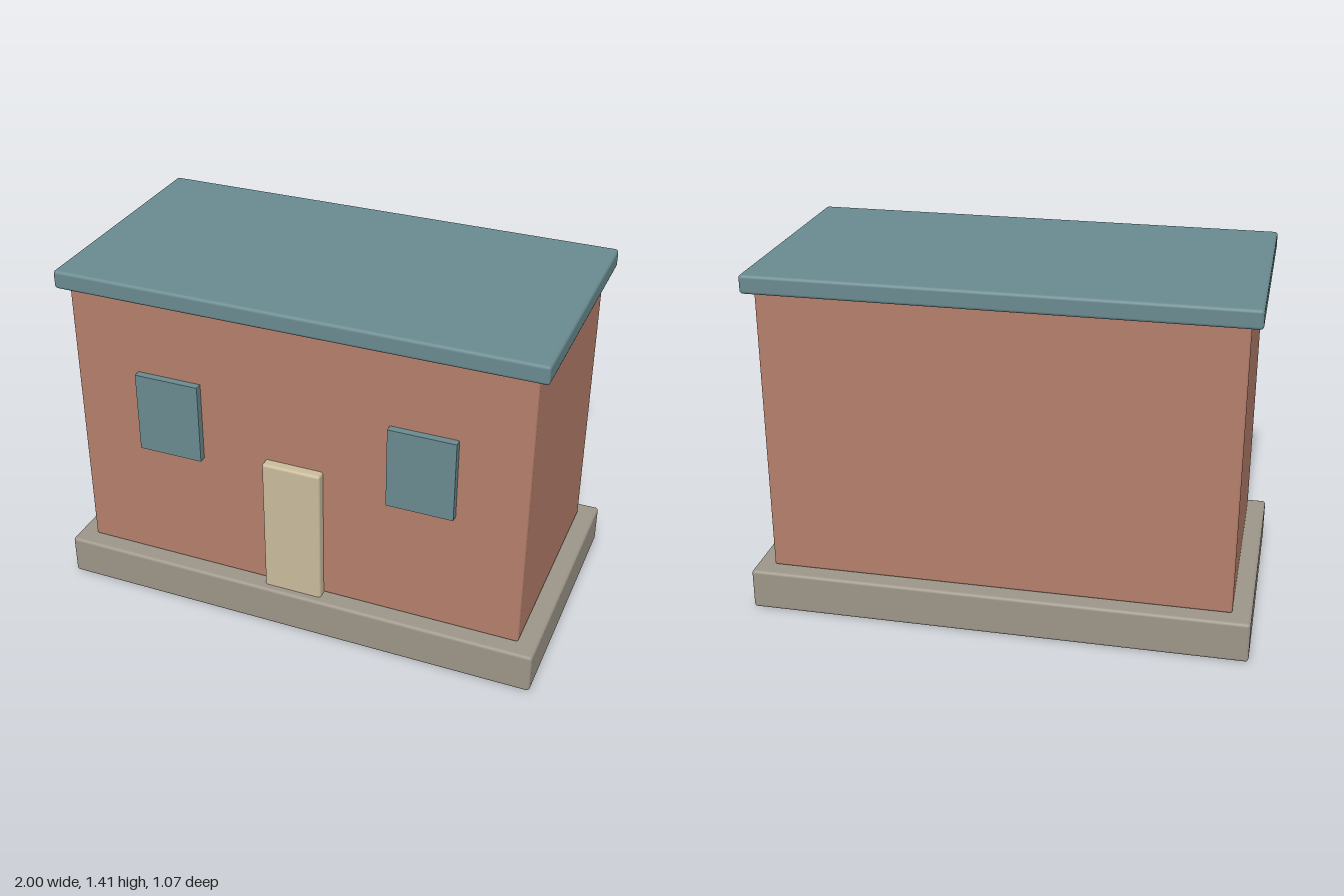
import * as THREE from 'three';
import { RoundedBoxGeometry } from 'three/addons/geometries/RoundedBoxGeometry.js';

function material(name, color) {
  const m = new THREE.MeshStandardMaterial({ color });
  m.name = name;
  return m;
}

export function createModel() {
  const group = new THREE.Group();
  group.name = 'house';

  const brick = material('brick', 0xb47e6a);
  const teal = material('teal', 0x698a8f);
  const stone = material('stone', 0x9c9588);
  const cream = material('cream', 0xc9bb9c);

  // Box from its extents; a bevel radius softens the edges
  function block(name, mat, [x0, x1], [y0, y1], [z0, z1], bevel = 0) {
    const size = [x1 - x0, y1 - y0, z1 - z0];
    const geometry = bevel
      ? new RoundedBoxGeometry(...size, 2, bevel)
      : new THREE.BoxGeometry(...size);
    const mesh = new THREE.Mesh(geometry, mat);
    mesh.name = name;
    mesh.position.set((x0 + x1) / 2, (y0 + y1) / 2, (z0 + z1) / 2);
    group.add(mesh);
  }

  // Main masses, bottom to top
  block('foundation', stone, [-1, 1], [0, 0.167], [-0.533, 0.533], 0.013);
  block('walls', brick, [-0.925, 0.925], [0.167, 1.333], [-0.463, 0.463], 0.01);
  block('roof', teal, [-0.967, 0.967], [1.333, 1.408], [-0.504, 0.504], 0.013);

  // Door, its foot set into the foundation
  block('door', cream, [-0.12, 0.12], [0.15, 0.745], [0.45, 0.502], 0.011);

  // Pair of windows
  for (const [name, x] of [['leftWindow', 0.519], ['rightWindow', -0.519]]) {
    block(name, teal, [x - 0.133, x + 0.133], [0.684, 1.017], [0.45, 0.493]);
  }

  return group;
}
